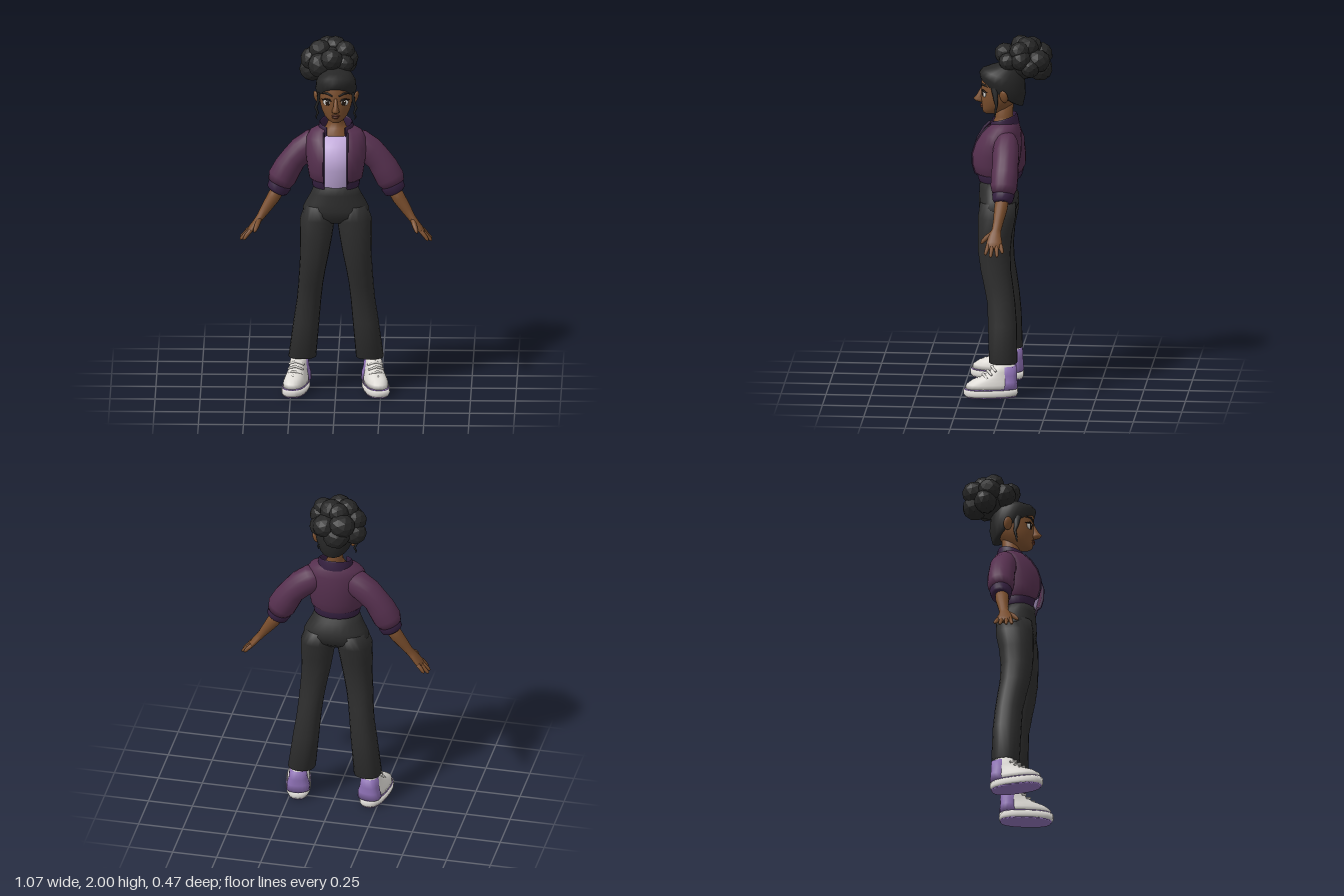
import * as THREE from 'three';

const M = {};
for (const [name, hex] of Object.entries({
  jacketPlum: 0x56304f, trimPurple: 0x352040, shirtLilac: 0xc2aadb, trouserBlack: 0x2d2d2d, hairBlack: 0x262626,
  skinBrown: 0x7a4e2d, white: 0xdedbd6, shoePurple: 0x8d70b4, eyeDark: 0x21160f, lipBrown: 0x6a3a2a,
})) { M[name] = new THREE.MeshStandardMaterial({ color: hex }); M[name].name = name; }

const V = (x, y, z) => new THREE.Vector3(x, y, z);

// Skin a list of closed point rings; winding is corrected by signed volume.
function loft(rings, caps = true) {
  const n = rings[0].length, pts = rings.flat(), idx = [];
  for (let j = 0; j < rings.length - 1; j++) for (let i = 0; i < n; i++) {
    const a = j * n + i, b = j * n + (i + 1) % n;
    idx.push(a, a + n, b, b, a + n, b + n);
  }
  if (caps) [0, rings.length - 1].forEach((j) => {
    const c = pts.length, mid = V(0, 0, 0);
    rings[j].forEach((p) => mid.addScaledVector(p, 1 / n));
    pts.push(mid);
    for (let i = 0; i < n; i++) {
      const a = j * n + i, b = j * n + (i + 1) % n;
      if (j === 0) idx.push(c, a, b); else idx.push(c, b, a);
    }
  });
  let vol = 0;
  const o = pts[0], t = V(0, 0, 0);
  for (let k = 0; k < idx.length; k += 3) {
    const [a, b, c] = [0, 1, 2].map((d) => pts[idx[k + d]].clone().sub(o));
    vol += a.dot(t.crossVectors(b, c));
  }
  if (vol < 0) idx.reverse();
  const g = new THREE.BufferGeometry().setFromPoints(pts);
  g.setIndex(idx);
  g.computeVertexNormals();
  return g;
}

// Point on a level section [y, halfWidth, zBack, zFront, centreX, tilt].
function spot([y, rx, zb, zf, cx = 0, tilt = 0], a, grow = 0, e = 1) {
  const pw = (v) => Math.sign(v) * Math.abs(v) ** e, cz = (zb + zf) / 2;
  const z = pw(Math.sin(a)) * ((zf - zb) / 2 + grow);
  return V(cx + pw(Math.cos(a)) * (rx + grow), y + tilt * z, cz + z);
}
const stack = (rows, n = 20, e = 1) => loft(rows.map((r) =>
  Array.from({ length: n }, (_, i) => spot(r, (i / n) * Math.PI * 2, 0, e))));

// Garment shell that is open at the front; the end rows pinch shut.
function openShell(rows, gap, thick, n = 26) {
  return loft(rows.map((r, j) => {
    const start = Math.acos(Math.min(1, gap / r[1])), sweep = Math.PI + 2 * start;
    const end = j === 0 || j === rows.length - 1;
    const arc = (g) => Array.from({ length: n }, (_, i) =>
      spot(r, start - ((sweep > Math.PI * 2 ? Math.PI * 2 : Math.PI + 2 * start) * i) / (n - 1), g));
    return [...arc(0), ...arc(end ? -0.001 : -thick).reverse()];
  }), false);
}

// Tapered limb through [x, y, z, halfThickness, halfDepth].
function limb(path, n = 14) {
  const p = path.map((q) => V(q[0], q[1], q[2]));
  return loft(path.map((q, j) => {
    const w = p[Math.min(j + 1, p.length - 1)].clone().sub(p[Math.max(j - 1, 0)]).normalize();
    const v = V(0, 0, 1).addScaledVector(w, -w.z).normalize(), u = V(0, 0, 0).crossVectors(w, v);
    return Array.from({ length: n }, (_, i) => {
      const a = (i / n) * Math.PI * 2;
      return p[j].clone().addScaledVector(u, Math.cos(a) * q[3]).addScaledVector(v, Math.sin(a) * (q[4] ?? q[3]));
    });
  }));
}

function blob(x, y, z, sx, sy, sz, ry = 0, rz = 0) {
  return new THREE.SphereGeometry(1, 16, 12).scale(sx, sy, sz).rotateZ(rz).rotateY(ry).translate(x, y, z);
}

function mirrored(geo) {
  const g = geo.clone().scale(-1, 1, 1);
  g.setIndex(Array.from(g.index.array).reverse());
  return g;
}

export function createModel() {
  const root = new THREE.Group();
  root.name = 'standingGirl';
  const add = (name, geo, mat) => {
    const m = new THREE.Mesh(geo, mat);
    m.name = name;
    root.add(m);
  };
  const pair = (name, geo, mat) => {
    add(name + 'Left', geo, mat);
    add(name + 'Right', mirrored(geo), mat);
  };

  // Trousers
  add('trouserHips', stack([[0.985, 0.1, 0, 0.13], [1.02, 0.18, -0.04, 0.164], [1.06, 0.184, -0.054, 0.168],
    [1.1, 0.165, -0.055, 0.168], [1.15, 0.138, -0.03, 0.165], [1.2, 0.118, -0.005, 0.162]], 24, 0.9), M.trouserBlack);
  pair('trouserLeg', stack([[0.19, 0.077, -0.06, 0.097, 0.187], [0.4, 0.072, -0.055, 0.105, 0.164],
    [0.52, 0.068, -0.045, 0.11, 0.15], [0.62, 0.069, -0.032, 0.13, 0.14], [0.7, 0.073, -0.02, 0.148, 0.131],
    [0.8, 0.08, -0.016, 0.163, 0.118], [0.9, 0.09, -0.025, 0.166, 0.11], [1.0, 0.097, -0.045, 0.166, 0.102],
    [1.08, 0.08, -0.045, 0.155, 0.09]], 18, 0.88), M.trouserBlack);

  // Shoes, modelled straight and then turned out
  const shoe = (name, geo, mat) => pair(name, geo.rotateY(0.2).translate(0.205, 0, 0), mat);
  shoe('outsole', stack([[0, 0.062, -0.056, 0.222], [0.008, 0.066, -0.06, 0.23]], 24, 0.8), M.shoePurple);
  shoe('sole', stack([[0.008, 0.066, -0.061, 0.231], [0.02, 0.07, -0.065, 0.238], [0.046, 0.069, -0.064, 0.238]], 24, 0.8), M.white);
  shoe('soleStripe', stack([[0.045, 0.0665, -0.062, 0.234], [0.052, 0.0655, -0.061, 0.232]], 24, 0.8), M.shoePurple);
  shoe('shoeUpper', stack([[0.05, 0.064, -0.055, 0.231], [0.075, 0.062, -0.055, 0.222], [0.098, 0.055, -0.052, 0.19],
    [0.118, 0.049, -0.05, 0.135], [0.145, 0.045, -0.05, 0.09], [0.185, 0.043, -0.045, 0.068]], 22, 0.85), M.white);
  shoe('heelPanel', stack([[0.05, 0.066, -0.063, 0.045], [0.09, 0.062, -0.06, 0.03], [0.125, 0.052, -0.058, 0.035],
    [0.175, 0.048, -0.058, 0.04]], 20, 0.8), M.shoePurple);
  for (let i = 0; i < 4; i++) {
    const y = 0.172 - i * 0.021, z = 0.078 + i * 0.024;
    shoe('lace' + i, limb([[-0.042, y - 0.02, z - 0.015, 0.006], [0, y, z + 0.004, 0.008], [0.042, y - 0.02, z - 0.015, 0.006]], 8), M.white);
  }
  pair('ankle', stack([[0.15, 0.034, -0.035, 0.035, 0.2], [0.25, 0.036, -0.03, 0.04, 0.19]], 12), M.skinBrown);

  // Shirt, neck and chest
  add('shirt', stack([[1.17, 0.11, 0.005, 0.15], [1.2, 0.115, -0.005, 0.164], [1.3, 0.14, -0.04, 0.188],
    [1.37, 0.148, -0.048, 0.186], [1.43, 0.14, -0.046, 0.156], [1.48, 0.1, -0.035, 0.116]], 24), M.shirtLilac);
  add('neck', stack([[1.45, 0.1, -0.035, 0.115], [1.49, 0.088, -0.03, 0.108], [1.52, 0.058, -0.025, 0.088],
    [1.55, 0.044, -0.02, 0.076], [1.64, 0.042, -0.025, 0.075]], 18), M.skinBrown);

  // Jacket
  const body = [[1.225, 0.128, -0.035, 0.178], [1.24, 0.147, -0.046, 0.198], [1.29, 0.156, -0.058, 0.212],
    [1.35, 0.164, -0.067, 0.212], [1.41, 0.168, -0.069, 0.192], [1.465, 0.163, -0.066, 0.158],
    [1.5, 0.143, -0.058, 0.125], [1.525, 0.092, -0.047, 0.1]];
  add('jacketBody', openShell(body, 0.066, 0.012), M.jacketPlum);
  add('jacketHem', openShell([[1.185, 0.122, -0.026, 0.166], [1.19, 0.129, -0.034, 0.176],
    [1.228, 0.135, -0.039, 0.186], [1.236, 0.13, -0.035, 0.18]], 0.066, 0.01), M.trimPurple);
  add('collar', openShell([[1.485, 0.092, -0.05, 0.112, 0, -0.28], [1.492, 0.1, -0.056, 0.12, 0, -0.28],
    [1.54, 0.095, -0.046, 0.113, 0, -0.28], [1.548, 0.09, -0.042, 0.108, 0, -0.28]], 0.055, 0.012), M.trimPurple);
  pair('frontEdge', limb(body.slice(0, 7).map((r) => {
    const p = spot(r, Math.acos(0.066 / r[1]));
    return [p.x, p.y, p.z - 0.004, 0.005, 0.009];
  }), 8), M.trimPurple);
  pair('sleeve', limb([[0.085, 1.45, 0.01, 0.05, 0.05], [0.12, 1.425, 0.008, 0.076, 0.068], [0.19, 1.372, 0.004, 0.078, 0.074],
    [0.235, 1.325, 0.003, 0.073, 0.072], [0.265, 1.28, 0.004, 0.078, 0.076], [0.3, 1.215, 0.006, 0.08, 0.074],
    [0.316, 1.18, 0.008, 0.066, 0.062]], 18), M.jacketPlum);
  pair('cuff', limb([[0.306, 1.185, 0.008, 0.058, 0.055], [0.312, 1.173, 0.008, 0.067, 0.063],
    [0.327, 1.143, 0.01, 0.061, 0.056], [0.331, 1.135, 0.01, 0.05, 0.047]], 18), M.trimPurple);

  // Arms and hands
  pair('forearm', limb([[0.31, 1.17, 0.012, 0.038], [0.35, 1.1, 0.02, 0.037], [0.39, 1.04, 0.03, 0.029],
    [0.418, 0.998, 0.038, 0.022, 0.026], [0.435, 0.975, 0.044, 0.02, 0.034], [0.466, 0.935, 0.046, 0.018, 0.045],
    [0.486, 0.91, 0.045, 0.012, 0.044]], 14), M.skinBrown);
  [[0.08, 0.092, 0.512, 0.878], [0.058, 0.062, 0.53, 0.87], [0.033, 0.027, 0.53, 0.872], [0.011, -0.002, 0.51, 0.888]]
    .forEach(([z0, z1, x, y], i) => pair('finger' + i, limb([[0.472, 0.928, z0, 0.012],
      [(0.472 + x) / 2 + 0.002, (0.928 + y) / 2, (z0 + z1) / 2, 0.0115], [x - 0.005, y + 0.006, z1, 0.009],
      [x, y, z1, 0.004]], 8), M.skinBrown));
  pair('thumb', limb([[0.425, 0.985, 0.058, 0.014], [0.438, 0.96, 0.092, 0.014], [0.447, 0.94, 0.112, 0.011],
    [0.452, 0.928, 0.12, 0.005]], 8), M.skinBrown);

  // Head and face
  add('head', stack([[1.566, 0.022, 0.075, 0.136], [1.577, 0.042, 0.05, 0.147], [1.6, 0.064, 0.005, 0.15],
    [1.63, 0.079, -0.03, 0.154], [1.66, 0.088, -0.05, 0.157], [1.7, 0.093, -0.065, 0.154], [1.76, 0.094, -0.07, 0.155],
    [1.81, 0.075, -0.05, 0.13], [1.84, 0.04, -0.02, 0.08]], 26), M.skinBrown);
  add('nose', stack([[1.628, 0.01, 0.13, 0.165], [1.636, 0.021, 0.13, 0.19], [1.648, 0.02, 0.13, 0.2],
    [1.665, 0.013, 0.13, 0.184], [1.71, 0.009, 0.13, 0.159]], 12), M.skinBrown);
  add('upperLip', blob(0, 1.612, 0.151, 0.024, 0.006, 0.01), M.lipBrown);
  add('lowerLip', blob(0, 1.602, 0.15, 0.02, 0.007, 0.01), M.lipBrown);
  pair('eyeWhite', blob(0.047, 1.686, 0.136, 0.026, 0.019, 0.008, 0.42), M.white);
  pair('iris', blob(0.044, 1.686, 0.142, 0.014, 0.0175, 0.006, 0.35), M.eyeDark);
  pair('eyeGlint', blob(0.049, 1.694, 0.1465, 0.004, 0.004, 0.002, 0.35), M.white);
  pair('upperLash', limb([[0.02, 1.69, 0.149, 0.002], [0.034, 1.704, 0.147, 0.004], [0.055, 1.706, 0.139, 0.005],
    [0.071, 1.697, 0.125, 0.004], [0.079, 1.7, 0.115, 0.001]], 8), M.eyeDark);
  pair('eyebrow', limb([[0.018, 1.725, 0.153, 0.004], [0.045, 1.739, 0.144, 0.006], [0.07, 1.736, 0.126, 0.004],
    [0.08, 1.727, 0.114, 0.001]], 8), M.hairBlack);
  pair('ear', blob(0.108, 1.684, 0.022, 0.013, 0.037, 0.025, -0.45, -0.3), M.skinBrown);

  // Hair swept back from a sloping hairline
  add('hairCap', stack([[1.685, 0.09, -0.066, 0.15, 0, 0.66], [1.692, 0.101, -0.078, 0.16, 0, 0.66],
    [1.74, 0.114, -0.092, 0.166, 0, 0.48], [1.79, 0.109, -0.088, 0.148, 0, 0.28], [1.83, 0.083, -0.065, 0.105, 0, 0.1],
    [1.855, 0.04, -0.03, 0.05]], 22), M.hairBlack);
  pair('sideburn', limb([[0.094, 1.73, 0.075, 0.008, 0.02], [0.099, 1.67, 0.068, 0.008, 0.013],
    [0.112, 1.635, 0.062, 0.008], [0.1, 1.605, 0.068, 0.006], [0.11, 1.585, 0.07, 0.005], [0.104, 1.568, 0.074, 0.001]], 8), M.hairBlack);

  // Faceted bun made of clumps [x, y, z, radius]
  [[-0.04, 1.86, -0.08, 0.11], [-0.137, 1.88, -0.075, 0.062], [-0.138, 1.81, -0.1, 0.064], [-0.09, 1.93, -0.06, 0.06],
    [-0.005, 1.942, -0.1, 0.06], [0.045, 1.93, -0.06, 0.055], [0.065, 1.885, -0.07, 0.056], [0.055, 1.84, -0.12, 0.055],
    [-0.05, 1.82, -0.162, 0.074], [0.02, 1.87, -0.16, 0.066], [-0.08, 1.885, -0.165, 0.07], [-0.09, 1.86, 0.0, 0.066],
    [-0.025, 1.9, 0.025, 0.06], [0.045, 1.87, 0.0, 0.052], [-0.05, 1.94, -0.12, 0.056],
  ].forEach(([x, y, z, r], i) => {
    const g = new THREE.IcosahedronGeometry(r * 1.03, 1).scale(1.05, 0.95, 1).rotateY(i * 1.3).rotateX(i * 0.7);
    g.translate(x, y, z).computeVertexNormals();
    add('bunClump' + i, g, M.hairBlack);
  });
  return root;
}
